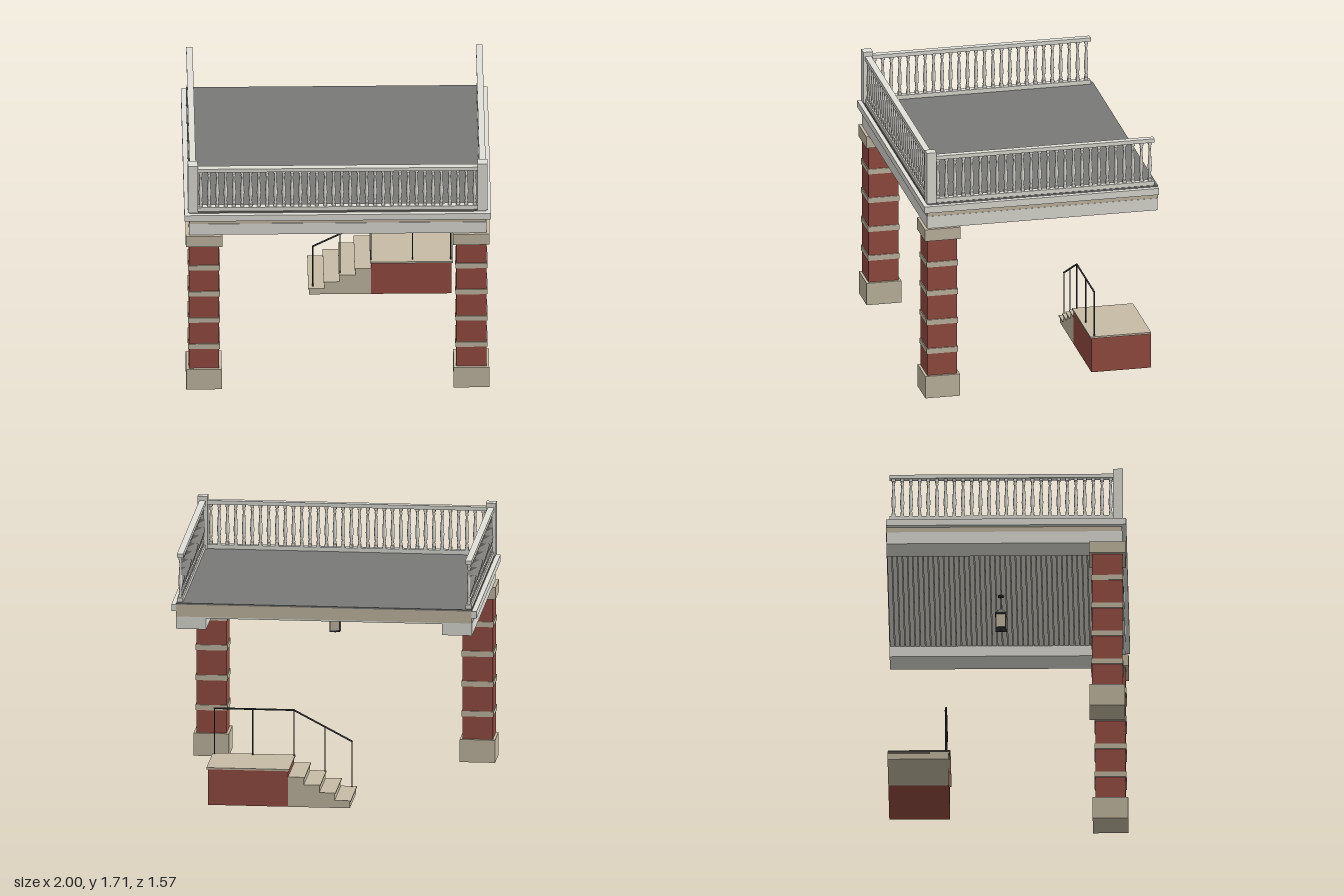
import * as THREE from 'three';

const material = (name, color) => {
  const m = new THREE.MeshStandardMaterial({ color });
  m.name = name;
  return m;
};

export function createModel() {
  const paleStone = material('pale stone', 0xe2e1d9);
  const tanStone = material('tan stone', 0xc6bca5);
  const brick = material('red brick', 0x984e44);
  const slate = material('dark slate', 0x797977);
  const iron = material('black iron', 0x3e3e41);

  const model = new THREE.Group();
  model.name = 'porticoWithBalcony';
  const group = (name, parent = model) => {
    const g = new THREE.Group();
    g.name = name;
    parent.add(g);
    return g;
  };
  const add = (parent, name, geometry, mat, x = 0, y = 0, z = 0) => {
    const mesh = new THREE.Mesh(geometry, mat);
    mesh.name = name;
    mesh.position.set(x, y, z);
    parent.add(mesh);
    return mesh;
  };
  // box given by its lower and upper limits on each axis
  const box = (parent, name, mat, x0, x1, y0, y1, z0, z1) =>
    add(parent, name, new THREE.BoxGeometry(x1 - x0, y1 - y0, z1 - z0), mat,
      (x0 + x1) / 2, (y0 + y1) / 2, (z0 + z1) / 2);
  // square block centred on x, z
  const block = (parent, name, mat, w, y0, y1, x, z) =>
    box(parent, name, mat, x - w / 2, x + w / 2, y0, y1, z - w / 2, z + w / 2);
  // thin round iron bar between two points
  const bar = (parent, name, a, b, r) => {
    const p = new THREE.Vector3(...a), q = new THREE.Vector3(...b);
    const d = q.clone().sub(p);
    const mesh = add(parent, name, new THREE.CylinderGeometry(r, r, d.length(), 8), iron);
    mesh.position.copy(p.add(q).multiplyScalar(0.5));
    mesh.quaternion.setFromUnitVectors(new THREE.Vector3(0, 1, 0), d.normalize());
  };

  // Brick columns with stone plinth, bands and capital
  for (const side of [-1, 1]) {
    const column = group(side > 0 ? 'leftColumn' : 'rightColumn');
    const x = side * 0.872, z = 0.66;
    block(column, 'plinth', tanStone, 0.232, 0, 0.152, x, z);
    block(column, 'shaft', brick, 0.198, 0.152, 1.096, x, z);
    for (const y of [0.322, 0.523, 0.725, 0.925])
      block(column, 'band', tanStone, 0.21, y - 0.018, y + 0.018, x, z);
    block(column, 'capital', tanStone, 0.238, 1.096, 1.177, x, z);
  }

  // Beams, floor slab, cornice and deck
  const floor = group('balconyFloor');
  box(floor, 'frontBeam', paleStone, -0.97, 0.97, 1.177, 1.26, 0.56, 0.76);
  for (const s of [-1, 1]) {
    const inner = s * 0.772, outer = s * 0.97;
    box(floor, 'sideBeam', paleStone, Math.min(inner, outer), Math.max(inner, outer), 1.177, 1.26, -0.78, 0.56);
    const a = s * 0.965, b = s;
    box(floor, 'sideCornice', paleStone, Math.min(a, b), Math.max(a, b), 1.295, 1.34, -0.782, 0.785);
  }
  box(floor, 'frontCornice', paleStone, -0.965, 0.965, 1.295, 1.34, 0.75, 0.785);
  box(floor, 'slab', tanStone, -0.968, 0.968, 1.26, 1.34, -0.782, 0.757);
  box(floor, 'deck', slate, -0.968, 0.968, 1.34, 1.351, -0.782, 0.757);

  // Ceiling boards with narrow gaps
  const boards = 40, pitch = 1.34 / boards;
  for (let i = 0; i < boards; i++) {
    const z = -0.78 + i * pitch;
    box(floor, 'ceilingBoard', paleStone, -0.772, 0.772, 1.25, 1.26, z + 0.002, z + pitch - 0.002);
  }

  // Balustrade: turned balusters between two rails
  const balustrade = group('balustrade');
  const profile = [
    [0.009, 0.018], [0.012, 0.03], [0.008, 0.042], [0.012, 0.075], [0.014, 0.1], [0.012, 0.14],
    [0.008, 0.205], [0.007, 0.225], [0.011, 0.234], [0.008, 0.245], [0.008, 0.257],
  ].map(([r, y]) => new THREE.Vector2(r, y));
  const turned = new THREE.LatheGeometry(profile, 8);
  const endBlock = new THREE.BoxGeometry(0.023, 0.019, 0.023);
  const baluster = (x, z) => {
    const g = group('baluster', balustrade);
    g.position.set(x, 1.379, z);
    add(g, 'turnedShaft', turned, paleStone);
    add(g, 'foot', endBlock, paleStone, 0, 0.0095, 0);
    add(g, 'head', endBlock, paleStone, 0, 0.262, 0);
  };
  const railX = 0.945, railZ = 0.731;
  for (const [y0, y1, w] of [[1.351, 1.379, 0.019], [1.649, 1.675, 0.021]]) {
    box(balustrade, 'frontRail', paleStone, -railX, railX, y0, y1, railZ - w, railZ + w);
    for (const s of [-1, 1])
      box(balustrade, 'sideRail', paleStone, s * railX - w, s * railX + w, y0, y1, -0.76, railZ);
  }
  for (let i = 0; i < 34; i++) baluster(-0.893 + (i * 1.786) / 33, railZ);
  for (const s of [-1, 1]) {
    block(balustrade, 'newelPost', paleStone, 0.065, 1.351, 1.705, s * railX, railZ);
    for (let i = 0; i < 26; i++) baluster(s * railX, 0.683 - (i * 1.416) / 25);
  }

  // Hanging lantern
  const lantern = group('lantern');
  lantern.position.set(0, 0, -0.045);
  block(lantern, 'panes', tanStone, 0.064, 1.015, 1.108, 0, 0);
  block(lantern, 'base', iron, 0.07, 1.008, 1.016, 0, 0);
  block(lantern, 'topFrame', iron, 0.07, 1.106, 1.116, 0, 0);
  for (const x of [-0.031, 0.031])
    for (const z of [-0.031, 0.031]) block(lantern, 'cornerBar', iron, 0.007, 1.012, 1.11, x, z);
  const roof = new THREE.ConeGeometry(0.054, 0.042, 4).toNonIndexed();
  roof.rotateY(Math.PI / 4);
  roof.computeVertexNormals();
  add(lantern, 'roof', roof, slate, 0, 1.137, 0);
  bar(lantern, 'hanger', [0, 1.15, 0], [0, 1.25, 0], 0.003);
  add(lantern, 'ceilingRose', new THREE.CylinderGeometry(0.02, 0.02, 0.008, 12), iron, 0, 1.246, 0);
  add(lantern, 'finial', new THREE.SphereGeometry(0.008, 10, 8), iron, 0, 1.003, 0);

  // Landing and four steps
  const stairs = group('entranceStairs');
  box(stairs, 'landingBase', brick, 0.235, 0.76, 0, 0.238, -0.782, -0.385);
  box(stairs, 'landingSlab', tanStone, 0.228, 0.77, 0.238, 0.25, -0.782, -0.376);
  const stepX = [-0.17, -0.07, 0.03, 0.132, 0.235];
  for (let i = 0; i < 4; i++) {
    const top = 0.05 * (i + 1);
    box(stairs, 'step', tanStone, stepX[i], stepX[i + 1], 0, top - 0.008, -0.782, -0.385);
    box(stairs, 'tread', tanStone, stepX[i] - 0.006, stepX[i + 1], top - 0.008, top, -0.782, -0.377);
  }

  // Iron handrail along the front of the stairs
  const handrail = group('handrail');
  const z = -0.405;
  const path = [[-0.145, 0.357, z], [0.235, 0.557, z], [0.755, 0.557, z]];
  bar(handrail, 'slopedRail', path[0], path[1], 0.006);
  bar(handrail, 'levelRail', path[1], path[2], 0.006);
  for (const p of path) add(handrail, 'railJoint', new THREE.SphereGeometry(0.006, 8, 6), iron, ...p);
  for (const [x, y0, y1] of [[-0.145, 0.05, 0.357], [0.032, 0.15, 0.45], [0.235, 0.25, 0.557],
    [0.505, 0.25, 0.557], [0.755, 0.25, 0.557]])
    bar(handrail, 'railPost', [x, y0, z], [x, y1, z], 0.004);

  return model;
}
